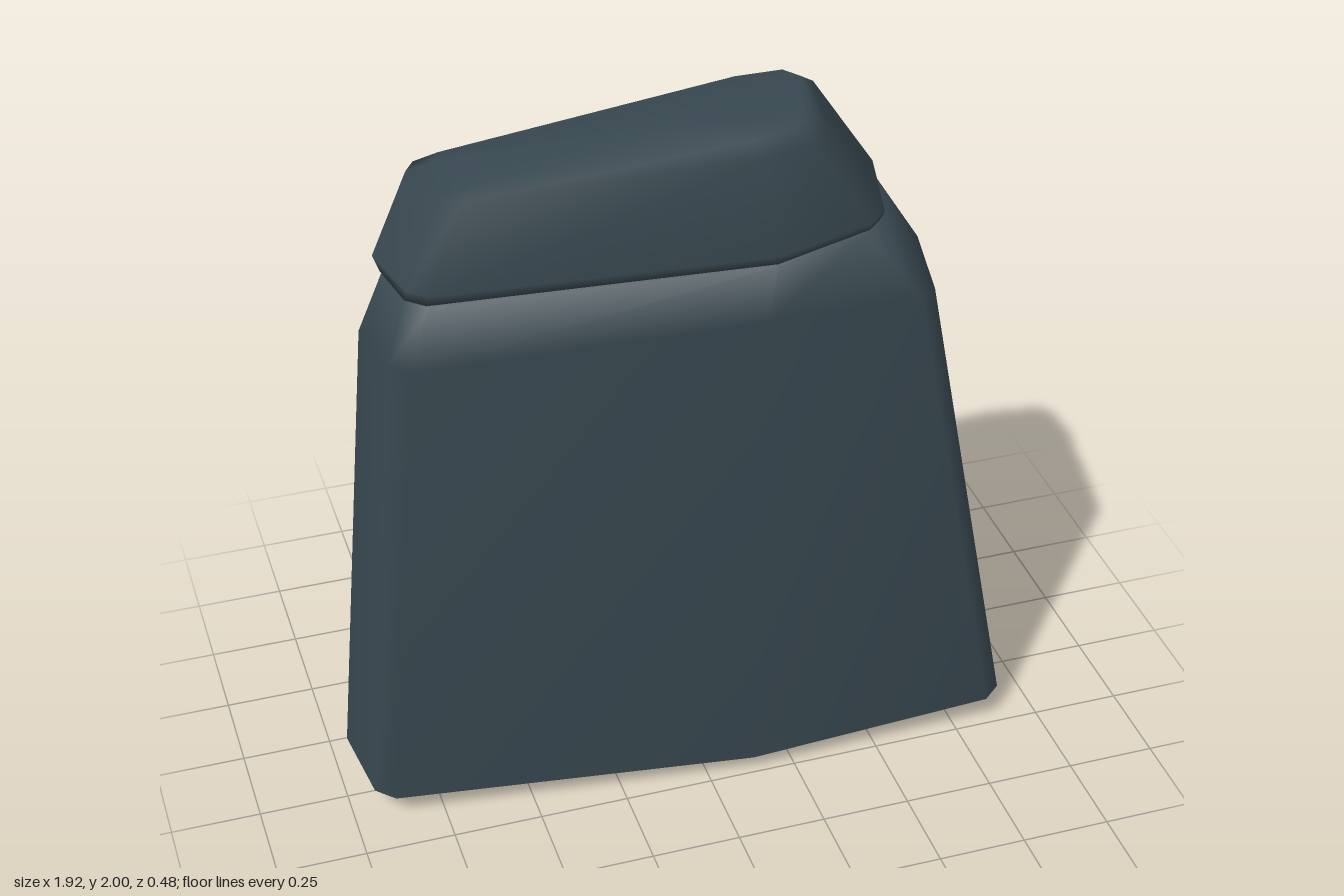
import * as THREE from 'three';

// Cuts the four outer corners of a six-corner ring; the two middle kinks stay single.
function bevelRing(corners, size) {
  const p = corners.map((c) => new THREE.Vector3(...c));
  const out = [];
  p.forEach((c, i) => {
    if (i === 1 || i === 4) return out.push(c);
    for (const n of [p[(i + 5) % 6], p[(i + 1) % 6]]) {
      out.push(c.clone().add(n.clone().sub(c).setLength(size)));
    }
  });
  return out;
}

// Closed loft through rings listed from bottom to top.
function loft(rings, bevel) {
  const loops = rings.map((r) => bevelRing(r, bevel));
  const n = loops[0].length;
  const pts = loops.flat();
  const index = [];
  for (let r = 0; r < loops.length - 1; r++) {
    for (let i = 0; i < n; i++) {
      const j = (i + 1) % n;
      const a = r * n + i, b = r * n + j, c = b + n, d = a + n;
      index.push(a, b, c, a, c, d);
    }
  }
  // End faces as fans around a centre point
  [0, loops.length - 1].forEach((r) => {
    const mid = new THREE.Vector3();
    loops[r].forEach((v) => mid.addScaledVector(v, 1 / n));
    const m = pts.push(mid) - 1;
    for (let i = 0; i < n; i++) {
      const a = r * n + i, b = r * n + (i + 1) % n;
      if (r === 0) index.push(m, b, a);
      else index.push(m, a, b);
    }
  });
  const g = new THREE.BufferGeometry().setFromPoints(pts);
  g.setIndex(index);
  g.computeVertexNormals();
  return g;
}

export function createModel() {
  const group = new THREE.Group();
  const slate = new THREE.MeshStandardMaterial({ color: 0x37474f });
  slate.name = 'dark slate';

  // Ring corners: front right, front kink, front left, back left, back kink, back right
  const neck = [[-0.74, 1.59, 0.04], [0.2, 1.62, 0.165], [0.5, 1.665, 0.13],
    [0.59, 1.66, -0.19], [0.2, 1.63, -0.217], [-0.785, 1.6, -0.185]];
  const body = [
    [[-0.89, 0.03, 0.08], [0.15, 0, 0.19], [0.84, 0.045, 0.18],
      [0.92, 0.045, -0.16], [0.22, 0, -0.2], [-0.92, 0.03, -0.165]],
    [[-0.93, 0.07, 0.125], [0.13, 0.045, 0.24], [0.89, 0.08, 0.235],
      [0.965, 0.08, -0.2], [0.22, 0.05, -0.24], [-0.967, 0.07, -0.21]],
    [[-0.8, 1.43, 0.08], [0.17, 1.47, 0.187], [0.645, 1.45, 0.175],
      [0.725, 1.44, -0.195], [0.2, 1.43, -0.228], [-0.85, 1.43, -0.2]],
    neck,
  ];
  const flap = [
    neck.map(([x, y, z]) => [x, y + 0.005, z]),
    [[-0.735, 1.63, 0.055], [0.2, 1.66, 0.187], [0.5, 1.7, 0.15],
      [0.59, 1.69, -0.205], [0.2, 1.66, -0.242], [-0.8, 1.64, -0.21]],
    [[-0.63, 1.865, 0.03], [0.17, 1.93, 0.145], [0.34, 1.955, 0.14],
      [0.41, 1.96, -0.2], [0.2, 1.95, -0.238], [-0.7, 1.865, -0.215]],
    [[-0.58, 1.9, 0], [0.15, 1.965, 0.11], [0.29, 1.985, 0.105],
      [0.36, 2.003, -0.165], [0.2, 1.985, -0.2], [-0.64, 1.9, -0.18]],
  ];

  const add = (name, rings, bevel) => {
    const mesh = new THREE.Mesh(loft(rings, bevel), slate);
    mesh.name = name;
    group.add(mesh);
  };
  add('pouchBody', body, 0.045);
  add('pouchFlap', flap, 0.04);
  return group;
}
